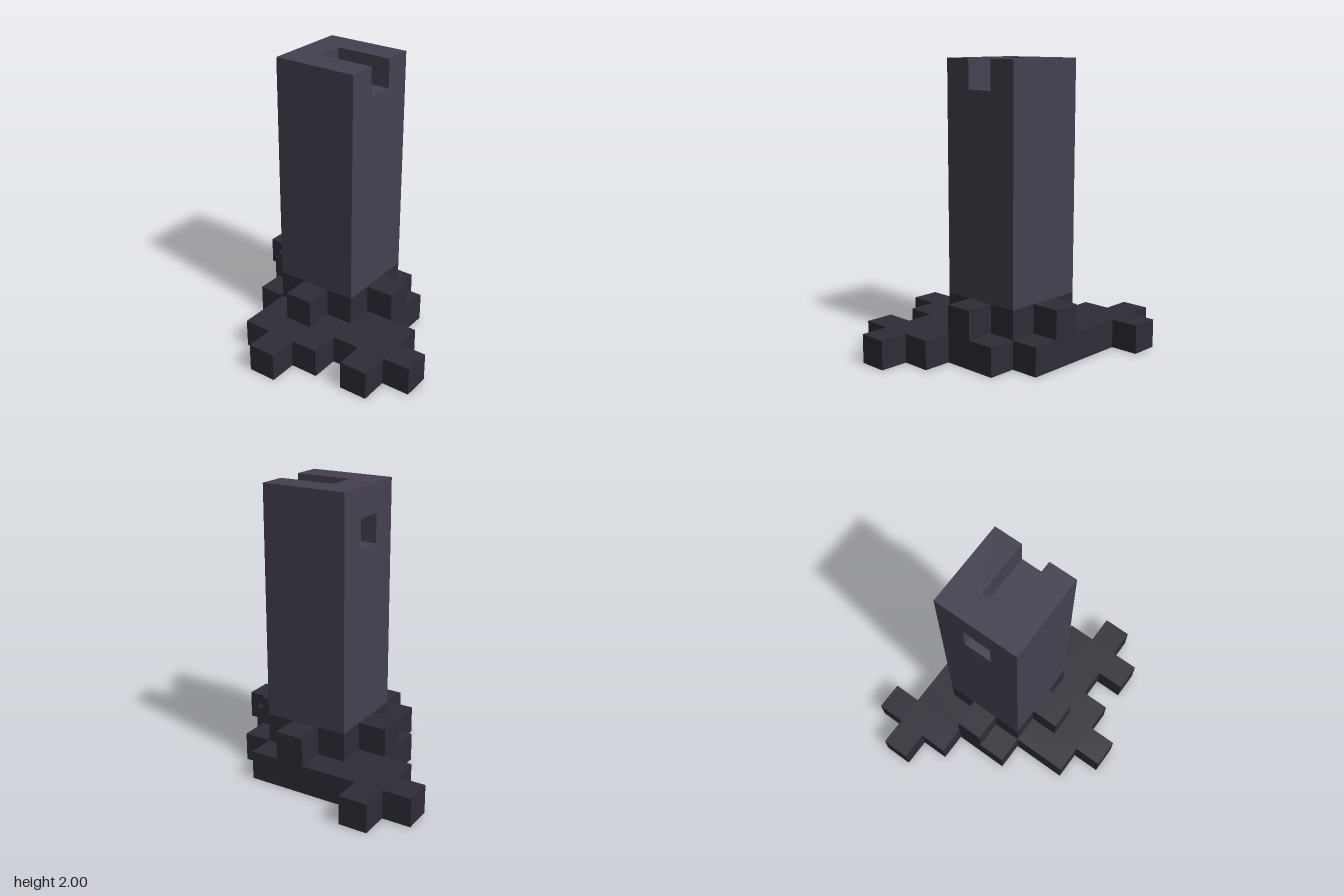
import * as THREE from 'three';

const CELL = 0.2;
const stone = new THREE.MeshStandardMaterial({ color: 0x454050 });
const darkStone = new THREE.MeshStandardMaterial({ color: 0x302c37 });

// Flat slab from an outline of [x, z] points, standing on height y
function slab(name, outline, y, height, material) {
  const shape = new THREE.Shape(outline.map(([x, z]) => new THREE.Vector2(x, -z)));
  const geometry = new THREE.ExtrudeGeometry(shape, { depth: height, bevelEnabled: false });
  geometry.rotateX(-Math.PI / 2);
  const mesh = new THREE.Mesh(geometry, material);
  mesh.name = name;
  mesh.position.y = y;
  return mesh;
}

// Stepped outline from rows of [xMin, xMax], one cell deep each, back to front
function steppedOutline(rows) {
  const z0 = -rows.length * CELL / 2;
  const left = [], right = [];
  rows.forEach(([a, b], i) => {
    const z = z0 + i * CELL;
    left.push([a, z], [a, z + CELL]);
    right.push([b, z], [b, z + CELL]);
  });
  const points = [...left, ...right.reverse()];
  return points.filter(([x, z], i) => {
    const [px, pz] = points[(i + points.length - 1) % points.length];
    return Math.hypot(x - px, z - pz) > 1e-6;
  });
}

export function createModel() {
  const model = new THREE.Group();
  model.name = 'tower';

  // Ragged ground layer
  model.add(slab('groundLayer', steppedOutline([
    [0.4, 0.6], [0.2, 0.8], [-0.2, 0.6], [-0.6, 0.6], [-0.8, 0.6],
    [-0.6, 0.6], [-0.4, 0.4], [-0.6, 0], [-0.4, -0.2],
  ]), 0, CELL, darkStone));

  // Plinth with one buttress block in the middle of each side
  model.add(slab('buttressedPlinth', steppedOutline([
    [0, 0.2], [-0.2, 0.4], [-0.4, 0.6], [-0.2, 0.4], [0, 0.2],
  ]), CELL, CELL, darkStone));

  // Solid shaft
  const shaft = new THREE.Mesh(new THREE.BoxGeometry(0.6, 1.2, 0.6), stone);
  shaft.name = 'shaft';
  shaft.position.set(0.1, 1, 0);
  model.add(shaft);

  // Layer with a blind window in the back
  model.add(slab('windowLayer', [
    [-0.2, -0.3], [-0.2, 0.3], [0.4, 0.3], [0.4, -0.3],
    [0.2, -0.3], [0.2, -0.1], [0, -0.1], [0, -0.3],
  ], 1.6, CELL, stone));

  // Top layer with a channel open to the front
  model.add(slab('notchedTop', [
    [-0.2, -0.3], [-0.2, 0.3], [0, 0.3], [0, -0.1],
    [0.2, -0.1], [0.2, 0.3], [0.4, 0.3], [0.4, -0.3],
  ], 1.8, CELL, stone));

  return model;
}
